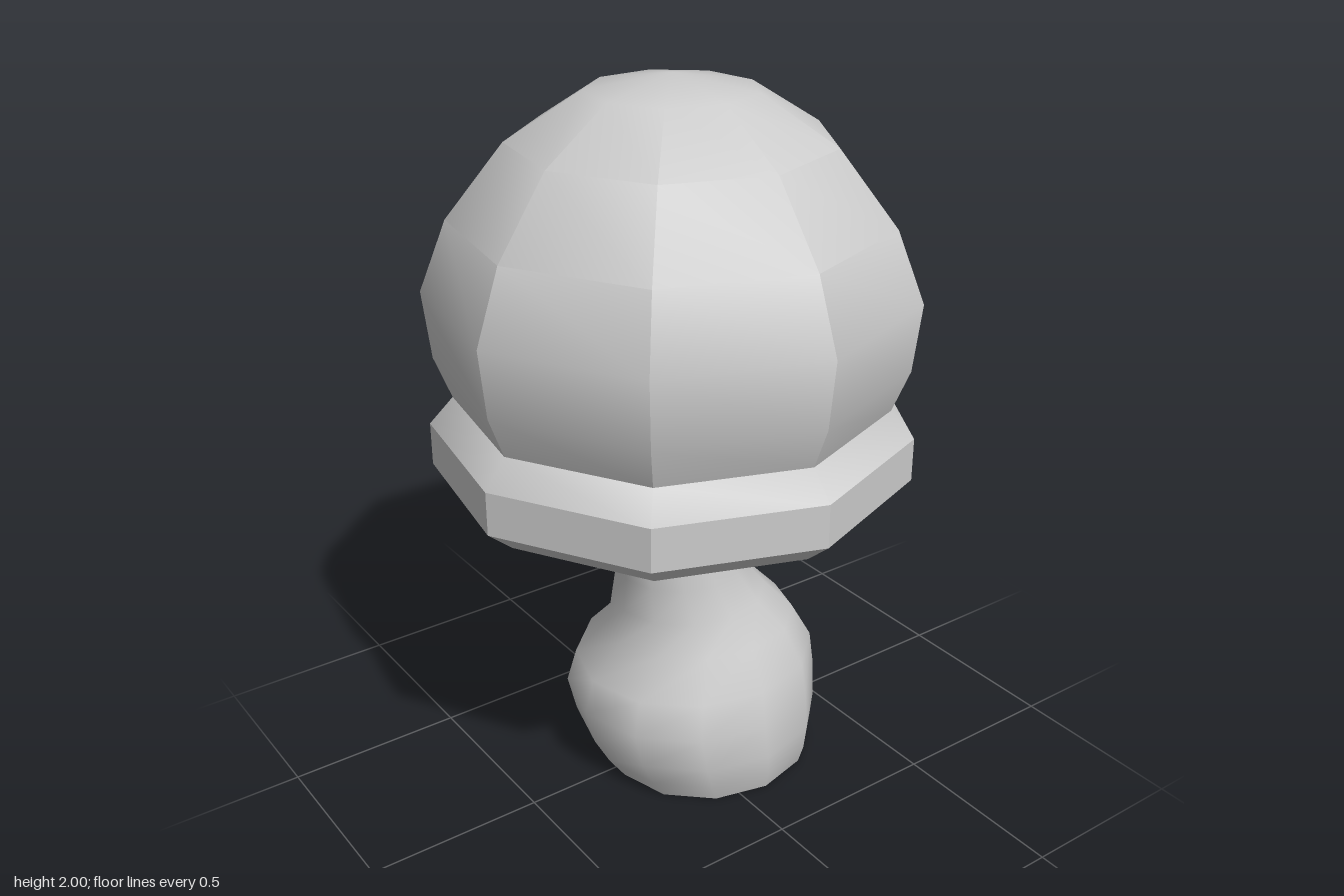
import * as THREE from 'three';
import { toCreasedNormals } from 'three/addons/utils/BufferGeometryUtils.js';

const SIDES = 9;

// Nine-sided turned part with one corner on +x
function turned(name, profile, material) {
  const points = profile.map(([r, y]) => new THREE.Vector2(r, y));
  const geometry = new THREE.LatheGeometry(points, SIDES, Math.PI / 2);
  const mesh = new THREE.Mesh(toCreasedNormals(geometry, 0.56), material);
  mesh.name = name;
  mesh.position.x = -0.02;
  return mesh;
}

// Loft of ellipses, top to bottom: [y, minX, maxX, minZ, maxZ]
function loft(name, rows, sides, material) {
  const n = rows.length - 1;
  const geometry = new THREE.CylinderGeometry(1, 1, 1, sides, n);
  const p = geometry.attributes.position;
  for (let i = 0; i < p.count; i++) {
    const [y, x0, x1, z0, z1] = rows[Math.round((0.5 - p.getY(i)) * n)];
    p.setXYZ(i,
      (x0 + x1) / 2 + p.getX(i) * (x1 - x0) / 2, y,
      (z0 + z1) / 2 + p.getZ(i) * (z1 - z0) / 2);
  }
  const mesh = new THREE.Mesh(toCreasedNormals(geometry, 0.85), material);
  mesh.name = name;
  return mesh;
}

export function createModel() {
  const group = new THREE.Group();
  group.name = 'mushroom';
  const solid = new THREE.MeshStandardMaterial({ color: 0xcccccc });
  const shell = new THREE.MeshStandardMaterial({ color: 0xcccccc, side: THREE.DoubleSide });

  // Hollow faceted dome
  group.add(turned('capDome', [
    [0.59, 1.15], [0.635, 1.265], [0.655, 1.45], [0.58, 1.64],
    [0.425, 1.835], [0.225, 1.96], [0, 2],
  ], shell));

  // Bevelled ring around the open underside
  group.add(turned('capRim', [
    [0.58, 0.89], [0.655, 0.955], [0.655, 1.075], [0.59, 1.15],
    [0.5, 1.075], [0.5, 0.955], [0.58, 0.89],
  ], solid));

  // Leaning stem with a swollen foot
  group.add(loft('stem', [
    [1.4, -0.15, 0.13, 0, 0.27],
    [0.89, -0.16, 0.165, -0.11, 0.22],
    [0.63, -0.165, 0.185, -0.18, 0.18],
    [0.53, -0.2, 0.215, -0.26, 0.19],
    [0.43, -0.24, 0.26, -0.355, 0.2],
    [0.32, -0.34, 0.315, -0.425, 0.285],
    [0.22, -0.37, 0.34, -0.435, 0.31],
    [0.12, -0.35, 0.347, -0.43, 0.29],
    [0.05, -0.3, 0.34, -0.41, 0.255],
    [0, -0.235, 0.325, -0.385, 0.22],
  ], 12, solid));

  return group;
}
